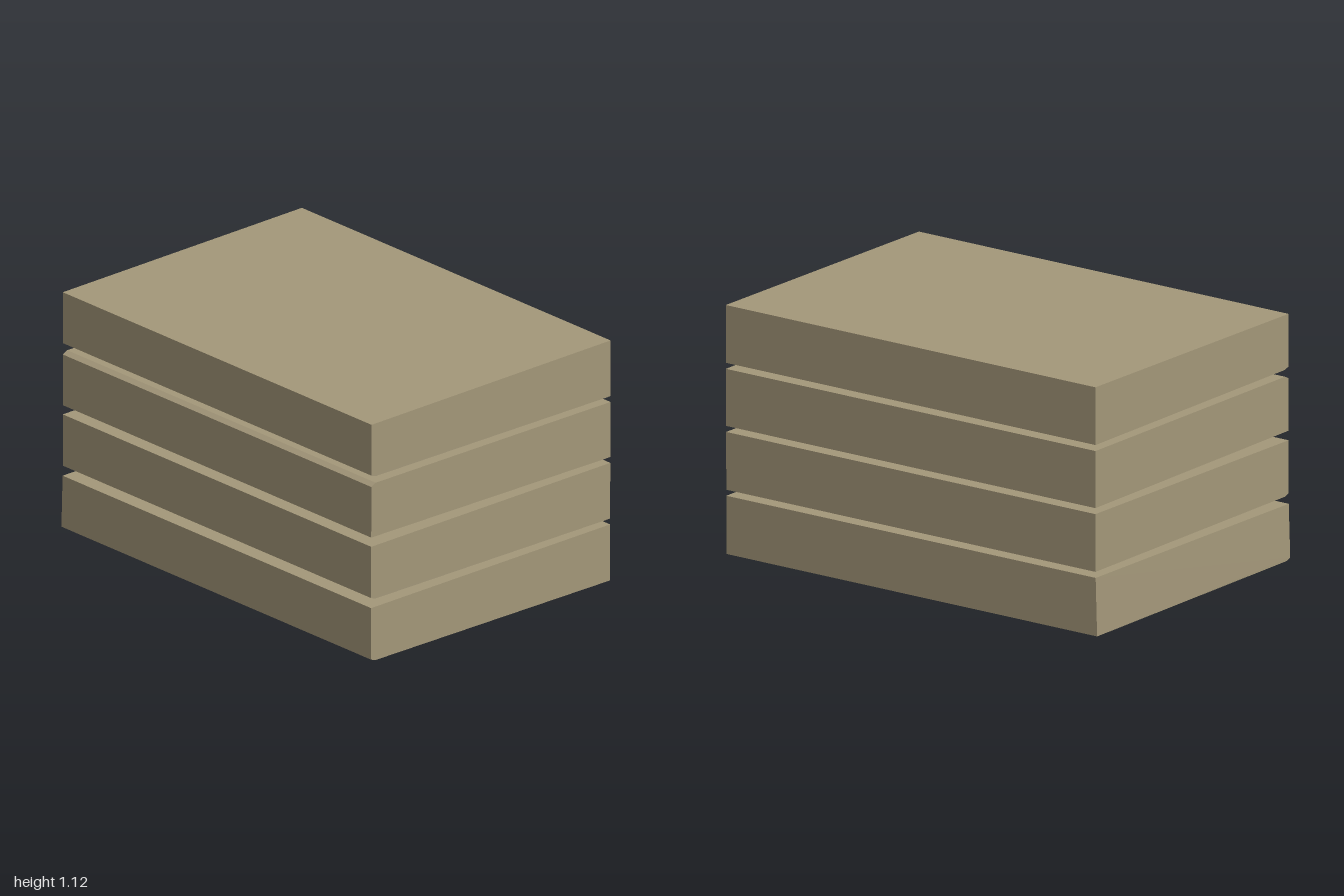
import * as THREE from 'three';

// Side profiles as [z, y], anticlockwise seen with -z to the right
const profiles = [
  [[0.69, 0.015], [0.665, 0.005], [-0.69, 0], [-0.69, 0.262], [0.69, 0.255]],
  [[0.69, 0.302], [0.665, 0.293], [-0.69, 0.289], [-0.69, 0.549], [0.69, 0.541]],
  [[0.69, 0.584], [-0.69, 0.576], [-0.69, 0.833], [0.665, 0.833], [0.69, 0.82]],
  [[0.69, 0.873], [0.665, 0.864], [-0.69, 0.86], [-0.69, 1.12], [0.69, 1.11]],
];
// Left and right ends of each slab at its lower and upper edge
const ends = [
  { low: [-1, 0.995], high: [-0.992, 0.997] },
  { low: [-0.991, 0.997], high: [-0.991, 0.998] },
  { low: [-0.991, 0.998], high: [-0.991, 0.999] },
  { low: [-0.991, 0.999], high: [-0.991, 1] },
];

function slabGeometry(profile, { low, high }) {
  const shape = new THREE.Shape(profile.map(([z, y]) => new THREE.Vector2(-z, y)));
  const geo = new THREE.ExtrudeGeometry(shape, { depth: 1, bevelEnabled: false });
  geo.rotateY(Math.PI / 2);
  const pos = geo.attributes.position;
  const middle = (profile[0][1] + profile.at(-1)[1]) / 2;
  // Set the slightly leaning end faces
  for (let i = 0; i < pos.count; i++) {
    const pair = pos.getY(i) < middle ? low : high;
    pos.setX(i, pair[pos.getX(i) > 0.5 ? 1 : 0]);
  }
  geo.computeVertexNormals();
  return geo;
}

export function createModel() {
  const group = new THREE.Group();
  const stone = new THREE.MeshStandardMaterial({ color: 0xa39779 });
  stone.name = 'tan stone';
  // Stack of four slabs with narrow gaps
  profiles.forEach((profile, i) => {
    const slab = new THREE.Mesh(slabGeometry(profile, ends[i]), stone);
    slab.name = `slab${i + 1}`;
    group.add(slab);
  });
  return group;
}
